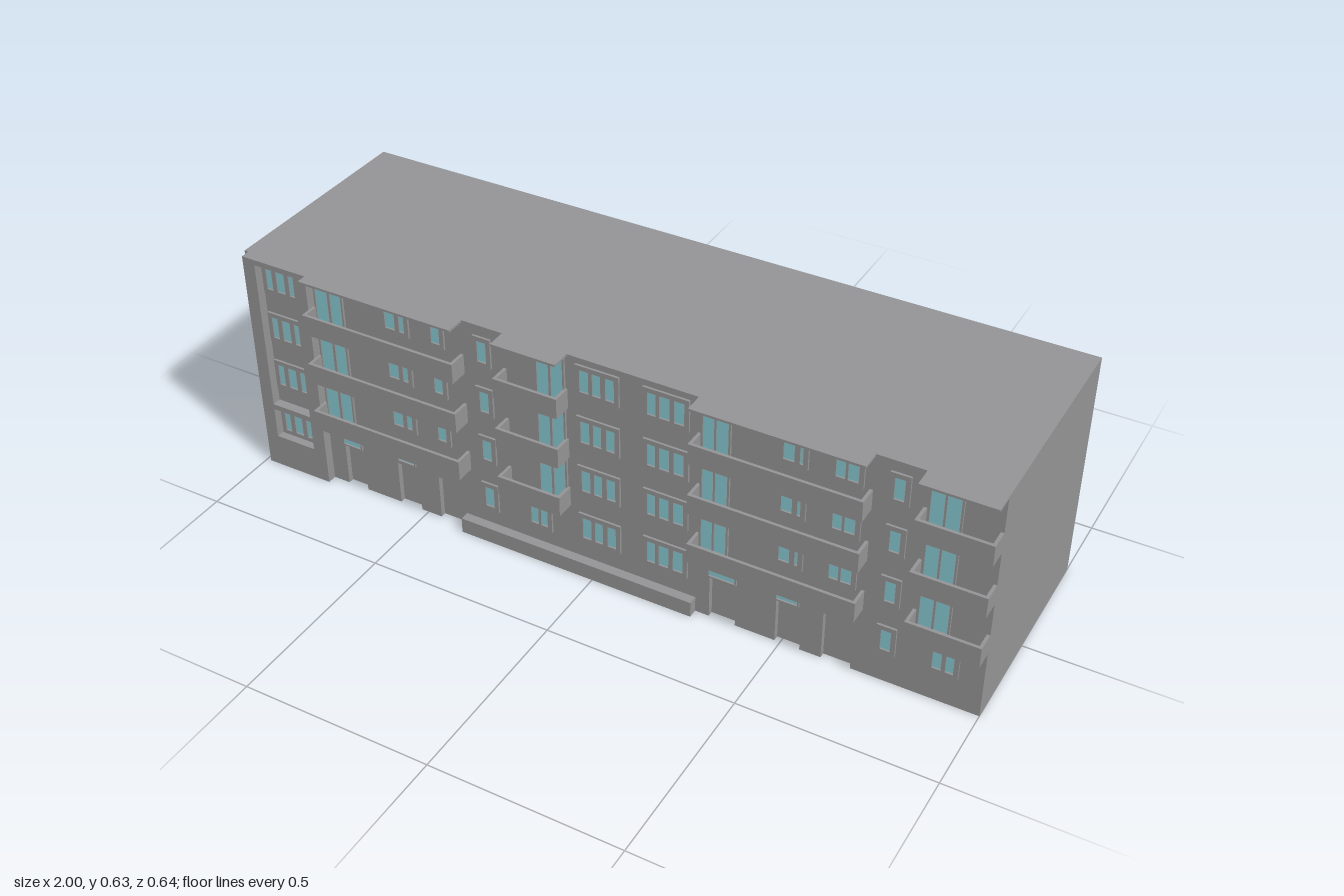
import * as THREE from 'three';

export function createModel() {
  const model = new THREE.Group();
  const wallMat = new THREE.MeshStandardMaterial({ color: 0x949496 });
  wallMat.name = 'concrete grey';
  const glassMat = new THREE.MeshStandardMaterial({ color: 0x88c8d2 });
  glassMat.name = 'window blue';

  const WALL = 0.267, TOP = 0.63, FLOOR = 0.1445;

  // box given by its minimum and maximum corners
  function box(name, mat, x0, x1, y0, y1, z0, z1, parent = model) {
    const mesh = new THREE.Mesh(new THREE.BoxGeometry(x1 - x0, y1 - y0, z1 - z0), mat);
    mesh.position.set((x0 + x1) / 2, (y0 + y1) / 2, (z0 + z1) / 2);
    mesh.name = name;
    parent.add(mesh);
  }
  function rect(x0, x1, y0, y1, Type = THREE.Path) {
    return new Type([[x0, y0], [x1, y0], [x1, y1], [x0, y1]].map(p => new THREE.Vector2(...p)));
  }
  function slab(name, shape, z, depth, parent = model) {
    const geo = new THREE.ExtrudeGeometry(shape, { depth, bevelEnabled: false });
    const mesh = new THREE.Mesh(geo, wallMat);
    mesh.position.z = z;
    mesh.name = name;
    parent.add(mesh);
  }

  // main block, with a front skin notched by the door recesses
  const back = WALL - 0.015;
  box('mainBlock', wallMat, -1, 1, 0, TOP, -0.318, back);
  const doors = [
    [-0.75, -0.69, 0.125], [-0.585, -0.52, 0.125], [-0.46, -0.38, 0.127],
    [0.31, 0.38, 0.125], [0.485, 0.55, 0.125], [0.605, 0.68, 0.137],
  ];
  const outline = [[-1, 0]];
  for (const [a, b, h] of doors) outline.push([a, 0], [a, h], [b, h], [b, 0]);
  outline.push([1, 0], [1, TOP], [-1, TOP]);
  slab('frontWall', new THREE.Shape(outline.map(p => new THREE.Vector2(...p))), back, 0.015);

  // projecting stair bay with two recessed panels
  const bay = rect(-0.988, -0.797, 0, TOP, THREE.Shape);
  bay.holes.push(rect(-0.952, -0.835, 0.195, 0.615), rect(-0.952, -0.835, 0.093, 0.18));
  slab('projectingBay', bay, WALL, 0.025);

  // one window: glass panes inside a raised frame
  function addWindow(panes, y0, y1, margin = 0.012) {
    const group = new THREE.Group();
    group.name = 'window';
    const frame = rect(panes[0][0] - margin, panes[panes.length - 1][1] + margin,
      y0 - margin, y1 + margin, THREE.Shape);
    for (const [a, b] of panes) {
      frame.holes.push(rect(a, b, y0, y1));
      box('glass', glassMat, a, b, y0, y1, WALL - 0.002, WALL + 0.001, group);
    }
    slab('windowFrame', frame, WALL, 0.006, group);
    model.add(group);
  }
  function windowColumn(panes, y0, y1, firstFloor, margin) {
    for (let f = firstFloor; f < 4; f++) addWindow(panes, y0 + f * FLOOR, y1 + f * FLOOR, margin);
  }

  // triple windows on every floor
  windowColumn([[-0.936, -0.918], [-0.905, -0.88], [-0.867, -0.846]], 0.107, 0.168, 0);
  windowColumn([[-0.034, -0.01], [0, 0.022], [0.035, 0.058]], 0.107, 0.168, 0);
  windowColumn([[0.144, 0.166], [0.176, 0.202], [0.214, 0.24]], 0.107, 0.168, 0);
  // single windows on every floor
  windowColumn([[-0.315, -0.29]], 0.098, 0.156, 0);
  windowColumn([[0.75, 0.775]], 0.098, 0.156, 0);
  // smaller windows on the upper floors
  windowColumn([[-0.58, -0.551], [-0.539, -0.524]], 0.108, 0.156, 1);
  windowColumn([[-0.446, -0.422]], 0.108, 0.156, 1);
  windowColumn([[0.487, 0.514], [0.527, 0.535]], 0.108, 0.156, 1);
  windowColumn([[0.613, 0.636], [0.642, 0.668]], 0.108, 0.156, 1);
  // tall glazed doors behind the balconies
  for (const panes of [
    [[-0.787, -0.75], [-0.743, -0.71]], [[-0.15, -0.118], [-0.112, -0.08]],
    [[0.287, 0.316], [0.321, 0.352]], [[0.834, 0.866], [0.871, 0.904]],
  ]) windowColumn(panes, 0.062, 0.184, 1, 0.005);
  // ground floor pairs and small lights over the doors
  addWindow([[-0.182, -0.161], [-0.154, -0.135]], 0.098, 0.156);
  addWindow([[0.877, 0.899], [0.909, 0.929]], 0.098, 0.156);
  for (const [a, b, y0, y1] of [
    [-0.748, -0.696, 0.13, 0.16], [-0.578, -0.53, 0.14, 0.156],
    [0.31, 0.378, 0.13, 0.16], [0.487, 0.54, 0.134, 0.156],
  ]) addWindow([[a, b]], y0, y1, 0.004);

  // balconies: floor and parapets, with a thin roof slab above each stack
  const FRONT = 0.318, T = 0.008;
  for (const [a, b] of [[-0.797, -0.358], [-0.245, -0.07], [0.273, 0.7], [0.818, 1]]) {
    for (let f = 0; f < 3; f++) {
      const y = 0.19 + f * 0.144, top = y + 0.055;
      const balcony = new THREE.Group();
      balcony.name = 'balcony';
      box('balconyFloor', wallMat, a, b, y, y + T, WALL, FRONT, balcony);
      box('balconyFront', wallMat, a, b, y + T, top, FRONT - T, FRONT, balcony);
      for (const x of [a, b - T]) {
        box('balconySide', wallMat, x, x + T, y + T, top, WALL, FRONT - T, balcony);
      }
      model.add(balcony);
    }
    box('balconyRoof', wallMat, a, b, TOP - 0.006, TOP, WALL, FRONT);
  }

  // low plinth along the entrance
  box('entrancePlinth', wallMat, -0.38, 0.273, 0, 0.043, WALL, 0.292);

  return model;
}
